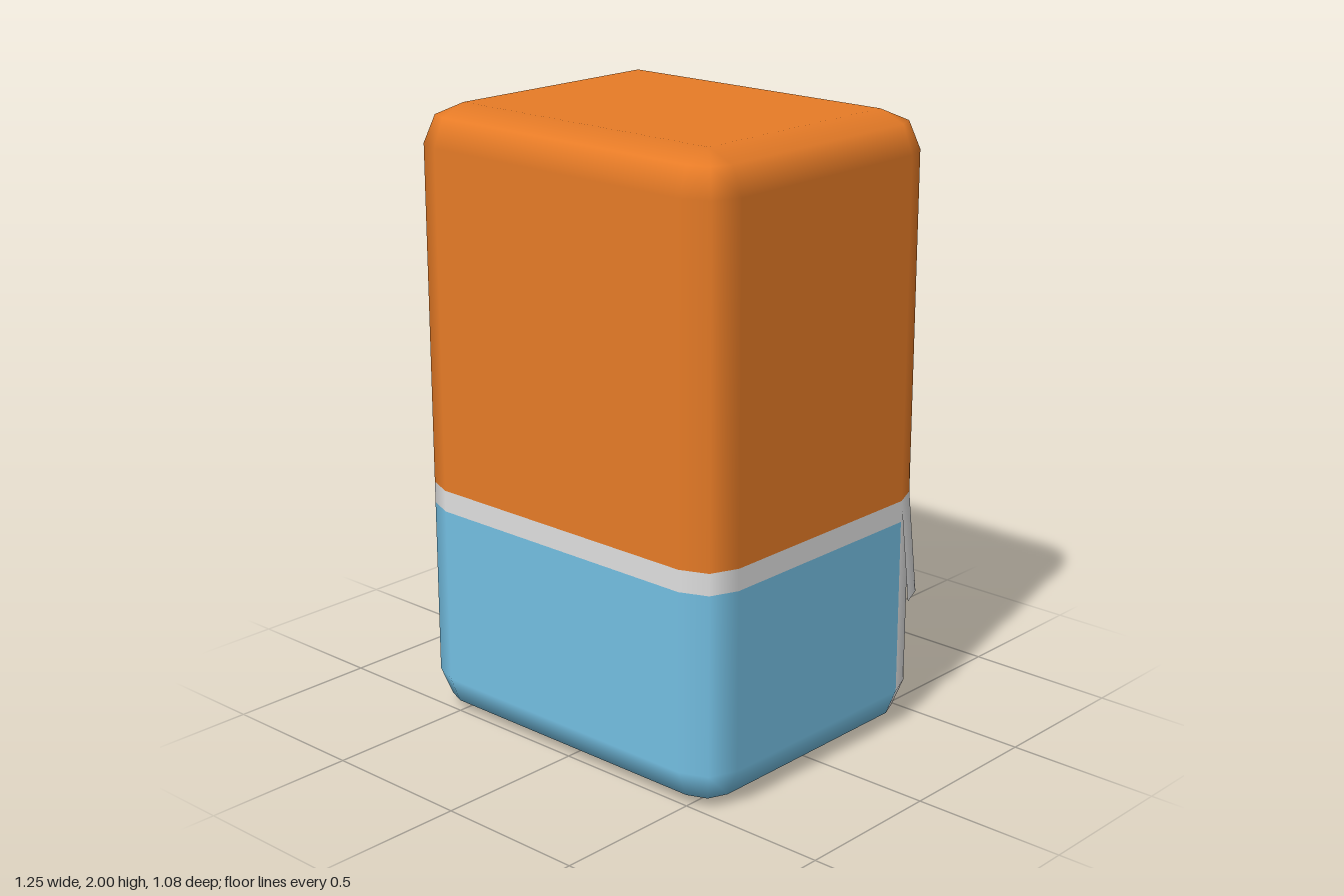
import * as THREE from 'three';

const mat = (name, color, side = THREE.FrontSide) => {
  const m = new THREE.MeshStandardMaterial({ color, side });
  m.name = name;
  return m;
};

// Rounded body: corner centres, bevel radius and height
const CX = 0.5, FRONT = 0.412, BACK = -0.363, R = 0.125, H = 2;
const MID = R * (1 - Math.SQRT1_2);
const STRIPE_LOW = 0.705, STRIPE_TOP = 0.775;

// Twelve points round the body at height y, three to a corner, with normals
function ring(y) {
  const cy = Math.min(Math.max(y, R), H - R);
  const ny = (y - cy) / R, flat = Math.sqrt(Math.max(0, 1 - ny * ny));
  const points = [];
  for (let corner = 0; corner < 4; corner++) {
    const cx = corner === 0 || corner === 3 ? CX : -CX;
    const cz = corner < 2 ? FRONT : BACK;
    for (let step = 0; step < 3; step++) {
      const a = (corner + step / 2) * Math.PI / 2;
      const n = new THREE.Vector3(Math.cos(a) * flat, ny, Math.sin(a) * flat);
      points.push({ p: new THREE.Vector3(cx, cy, cz).addScaledVector(n, R), n });
    }
  }
  return points;
}

// Mesh from a list of four-cornered faces
function faceMesh(name, quads, material) {
  const pos = [], nor = [];
  for (const [a, b, c, d] of quads) {
    for (const v of [a, b, c, a, c, d]) {
      pos.push(...v.p.toArray());
      nor.push(...v.n.toArray());
    }
  }
  const g = new THREE.BufferGeometry();
  g.setAttribute('position', new THREE.Float32BufferAttribute(pos, 3));
  g.setAttribute('normal', new THREE.Float32BufferAttribute(nor, 3));
  const mesh = new THREE.Mesh(g, material);
  mesh.name = name;
  return mesh;
}

// Flat face from plain corners
function flatQuad(...corners) {
  const v = corners.map(c => new THREE.Vector3(...c));
  const n = v[1].clone().sub(v[0]).cross(v[2].clone().sub(v[0])).normalize();
  return v.map(p => ({ p, n }));
}

export function createModel() {
  const group = new THREE.Group();
  const orange = mat('orange', 0xe87c27);
  const blue = mat('blue', 0x74bfe2);
  const white = mat('white', 0xe0e0e0, THREE.DoubleSide);
  const tan = mat('tan', 0xdfb050);
  const magenta = mat('magenta', 0xcc2c7c);
  const red = mat('red', 0xb83a1a);

  const parts = { upperBody: [], backPanel: [], lowerBody: [], trim: [], openingRim: [] };

  // Sort each face of the rounded body into its coloured part
  const partFor = (row, seg) => {
    const back = seg >= 7 && seg <= 9;
    const backCorner = seg === 6 || seg === 10;
    if (row >= 4) return back && row < 6 ? 'backPanel' : 'upperBody';
    if (row === 3) return 'trim';
    if (row === 2 && seg === 8) return null; // opening
    if (back) return row === 0 ? 'trim' : 'openingRim';
    return backCorner ? 'trim' : 'lowerBody';
  };
  const rings = [0, MID, R, STRIPE_LOW, STRIPE_TOP, H - R, H - MID, H].map(ring);
  for (let row = 0; row < rings.length - 1; row++) {
    const lo = rings[row], hi = rings[row + 1];
    for (let i = 0; i < 12; i++) {
      const part = partFor(row, i), j = (i + 1) % 12;
      if (part) parts[part].push([lo[i], hi[i], hi[j], lo[j]]);
    }
  }
  parts.lowerBody.push([1, 4, 7, 10].map(i => rings[0][i]));
  parts.upperBody.push([10, 7, 4, 1].map(i => rings[7][i]));

  group.add(
    faceMesh('upperBody', parts.upperBody, orange),
    faceMesh('backPanel', parts.backPanel, tan),
    faceMesh('lowerBody', parts.lowerBody, blue),
    faceMesh('trim', parts.trim, white),
    faceMesh('openingRim', parts.openingRim, magenta)
  );

  // Shallow recess in the back
  const z0 = BACK - R, z1 = z0 + 0.06, b = R, t = STRIPE_LOW;
  group.add(faceMesh('recess', [
    flatQuad([CX, b, z1], [-CX, b, z1], [-CX, t, z1], [CX, t, z1]),
    flatQuad([CX, b, z0], [-CX, b, z0], [-CX, b, z1], [CX, b, z1]),
    flatQuad([CX, t, z1], [-CX, t, z1], [-CX, t, z0], [CX, t, z0]),
    flatQuad([CX, b, z0], [CX, b, z1], [CX, t, z1], [CX, t, z0]),
    flatQuad([-CX, b, z1], [-CX, b, z0], [-CX, t, z0], [-CX, t, z1])
  ], red));

  // Flap hanging outward over the recess
  const top = rings[4];
  const hem = top.map(({ p, n }) => ({ p: new THREE.Vector3(p.x, 0.42, p.z - 0.05), n }));
  const flap = [];
  for (let i = 6; i < 11; i++) flap.push([hem[i], top[i], top[i + 1], hem[i + 1]]);
  group.add(faceMesh('flap', flap, white));

  return group;
}
